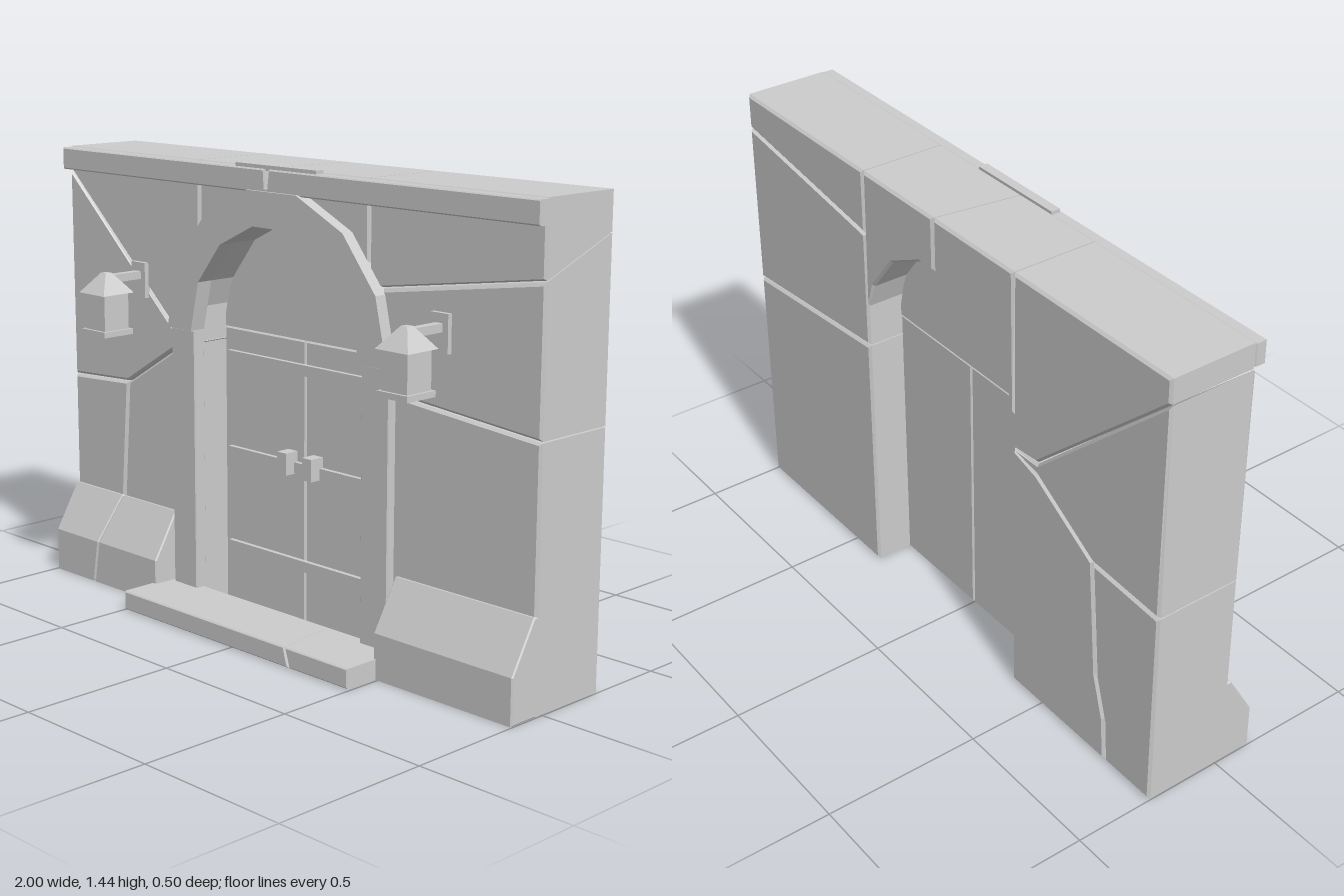
import * as THREE from 'three';

const stone = new THREE.MeshStandardMaterial({ color: 0xcccccc, flatShading: true });
stone.name = 'plain grey stone';

export function createModel() {
  const group = new THREE.Group();
  group.name = 'archedGate';

  const add = (name, geometry, parent = group) => {
    const mesh = new THREE.Mesh(geometry, stone);
    mesh.name = name;
    parent.add(mesh);
    return mesh;
  };
  const box = (name, x0, x1, y0, y1, z0, z1, parent) => {
    const g = new THREE.BoxGeometry(x1 - x0, y1 - y0, z1 - z0);
    g.translate((x0 + x1) / 2, (y0 + y1) / 2, (z0 + z1) / 2);
    return add(name, g, parent);
  };
  const toShape = (pts) => new THREE.Shape(pts.map(([x, y]) => new THREE.Vector2(x, y)));

  // Chamfered slab from an outline, shrunk a little so neighbours leave a groove
  const slab = (pts, z0, z1, bevel = 0.008, gap = 0.002) => {
    const g = new THREE.ExtrudeGeometry(toShape(pts), {
      depth: z1 - z0 - 2 * bevel, bevelEnabled: bevel > 0, bevelSegments: 1,
      bevelSize: bevel, bevelThickness: bevel, bevelOffset: -bevel - gap,
    });
    g.translate(0, 0, z0 + bevel);
    return g;
  };
  // Moves vertices by a rule
  const warp = (g, rule) => {
    const p = g.attributes.position;
    const v = new THREE.Vector3();
    for (let i = 0; i < p.count; i++) {
      v.fromBufferAttribute(p, i);
      rule(v);
      p.setXYZ(i, v.x, v.y, v.z);
    }
    g.computeVertexNormals();
    return g;
  };
  // Seven-sided arch points from right to left, springing at y = 0.9
  const arch = (r) => Array.from({ length: 8 }, (_, i) => {
    const a = (i / 7) * Math.PI;
    return [r * Math.cos(a), 0.9 + r * Math.sin(a)];
  });

  // Wall blocks
  const BACK = -0.25, FRONT = 0.035, TOP = 1.43;
  const crack = [[-0.8, 0], [-0.79, 0.15], [-0.75, 0.29], [-0.72, 0.68]];
  const rightSeam = [[0.36, 1.11], [0.42, 1.12], [1, 1.205]];
  const blocks = [
    [[-1, 0], ...crack, [-1, 0.665]],
    [[-0.36, 0], [-0.36, 0.86], [-0.47, 0.83], ...[...crack].reverse()],
    [[-1, 0.665], [-0.72, 0.68], [-0.47, 0.83], [-0.36, 0.86], [-0.47, 0.87], [-1, 1.35]],
    [[-1, 1.35], [-0.47, 0.87], [-0.36, 0.86], [-0.36, TOP], [-1, TOP]],
    [[0.36, 0], [1, 0], [1, 0.775], [0.36, 0.83]],
    [[0.36, 0.83], [1, 0.775], ...[...rightSeam].reverse()],
    [...rightSeam, [1, TOP], [0.36, TOP]],
    [[-0.36, TOP], [-0.36, 0.97], [-0.325, 1.056], [-0.225, 1.183], [-0.08, 1.254], [0, 1.254], [0, TOP]],
    [[0.36, TOP], [0.36, 0.97], [0.325, 1.056], [0.225, 1.183], [0.08, 1.254], [0, 1.254], [0, TOP]],
  ];
  blocks.forEach((pts, i) => {
    add('wallBlock' + (i + 1), warp(slab(pts, BACK, FRONT), (v) => {
      const t = (FRONT - v.z) / (FRONT - BACK);
      // The upper right seam climbs and the crown seam slants toward the back
      if (v.x > 0.34 && v.y > 1.08 && v.y < 1.25 && i !== 8) v.y += 0.11 * t;
      if (Math.abs(v.x) < 0.03) v.x += -0.03 + 0.04 * t;
    }));
  });

  // Cornice with a small chip, and the flat stone on top
  add('cornice', slab([[-1, 1.355], [1, 1.355], [1, 1.425], [-0.02, 1.425],
    [-0.028, 1.37], [-0.036, 1.37], [-0.04, 1.425], [-1, 1.425]], 0.028, 0.066, 0.004, 0));
  box('crownPlate', -0.17, 0.17, 1.42, 1.436, 0.028, 0.058);

  // Arch ring and door jambs
  add('archRing', slab([...arch(0.472), ...arch(0.362).reverse()], 0.02, 0.075, 0, 0));
  for (const s of [-1, 1]) {
    const jamb = [[s * 0.36, 0], [s * 0.47, 0], [s * 0.47, 0.9], [s * 0.36, 0.9]];
    add(s > 0 ? 'leftJamb' : 'rightJamb', slab(jamb, 0.02, 0.062, 0.004, 0));
  }

  // Double door, panel over it, straps and handles
  const door = new THREE.Group();
  door.name = 'door';
  group.add(door);
  for (const s of [-1, 1]) {
    add(s > 0 ? 'leftDoorLeaf' : 'rightDoorLeaf',
      slab([[0, 0], [s * 0.364, 0], [s * 0.364, 0.9], [0, 0.9]], -0.13, -0.07, 0.004), door);
    box('handle', s * 0.055 - 0.02, s * 0.055 + 0.02, 0.48, 0.55, -0.07, -0.02, door);
  }
  add('archPanel', slab(arch(0.37), -0.13, -0.072, 0, 0), door);
  for (const y of [0.19, 0.5, 0.81]) {
    box('strap', -0.335, 0.335, y - 0.017, y + 0.017, -0.075, -0.055, door);
  }

  // Sloped plinths, the right-hand one split by a slanting crack
  const profile = [[0.02, 0], [0.13, 0], [0.13, 0.14], [0.042, 0.29], [0.02, 0.29]];
  for (const [x0, x1] of [[-1, -0.8], [-0.8, -0.48], [0.48, 1]]) {
    const g = slab(profile, -x1 + 0.002, -x0 - 0.002, 0.004, 0);
    g.rotateY(-Math.PI / 2);
    add('plinth', warp(g, (v) => {
      if (Math.abs(v.x + 0.8) < 0.03) v.x += 0.17 * v.y;
    }));
  }

  // Doorstep in two stones
  for (const [x0, x1] of [[-0.5, 0.235], [0.235, 0.495]]) {
    add('doorstep', warp(slab([[x0, 0], [x1, 0], [x1, 0.065], [x0, 0.065]], 0.03, 0.248, 0.004),
      (v) => {
        if (Math.abs(v.x - 0.235) < 0.03) v.x += 0.14 * (v.z - 0.245) - 0.3 * (v.y - 0.06);
      }));
  }

  // Wall lanterns
  const square = (name, top, bottom, y0, y1, parent) => {
    const g = new THREE.CylinderGeometry(top * Math.SQRT2, bottom * Math.SQRT2, y1 - y0, 4);
    g.rotateY(Math.PI / 4);
    g.translate(0, (y0 + y1) / 2, 0.18);
    add(name, g, parent);
  };
  for (const s of [-1, 1]) {
    const lantern = new THREE.Group();
    lantern.name = s > 0 ? 'leftLantern' : 'rightLantern';
    lantern.position.x = s * 0.643;
    group.add(lantern);
    box('wallPlate', -0.033, 0.033, 0.97, 1.083, 0.03, 0.05, lantern);
    box('arm', -0.013, 0.013, 1.03, 1.055, 0.05, 0.185, lantern);
    square('roof', 0.012, 0.061, 1.0, 1.063, lantern);
    square('body', 0.048, 0.048, 0.88, 1.0, lantern);
    square('base', 0.057, 0.057, 0.867, 0.885, lantern);
  }
  return group;
}
